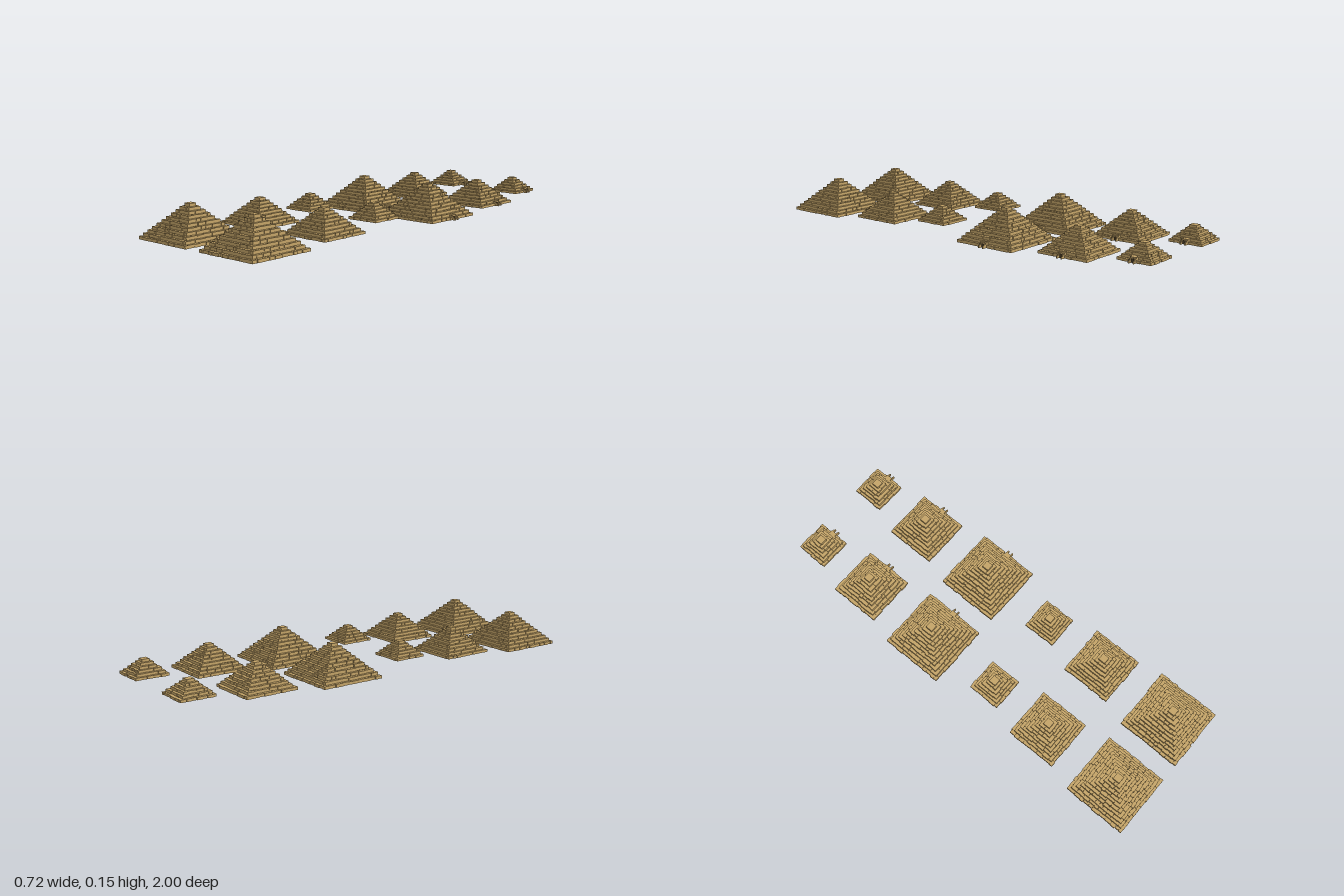
import * as THREE from 'three';
import { mergeGeometries } from 'three/addons/utils/BufferGeometryUtils.js';

const stone = new THREE.MeshStandardMaterial({ color: 0xc4a468 });
const coreStone = new THREE.MeshStandardMaterial({ color: 0xc4a468, flatShading: true, side: THREE.DoubleSide });
const shadow = new THREE.MeshStandardMaterial({ color: 0x4a3c26 });

// Small seeded generator for block sizes
function seeded(seed) {
  let s = seed;
  return () => (s = (s * 16807) % 2147483647) / 2147483647;
}

function box(x0, x1, y0, y1, z0, z1) {
  return new THREE.BoxGeometry(x1 - x0, y1 - y0, z1 - z0)
    .translate((x0 + x1) / 2, (y0 + y1) / 2, (z0 + z1) / 2);
}

const CAP = 0.017; // half width of the top block

// One course: four runs of uneven blocks laid pinwheel fashion
function course(w, y, h, depth, rand) {
  const blocks = [];
  for (let side = 0; side < 4; side++) {
    const end = w - depth;
    let x = -w;
    while (x < end - 1e-6) {
      let len = 0.016 + rand() * 0.026;
      if (end - x - len < 0.014) len = end - x;
      const out = (rand() - 0.5) * 0.005;
      const top = y + h + (rand() - 0.7) * 0.0016;
      const block = new THREE.BoxGeometry(len - 0.0008, top - y, depth + out)
        .rotateY((rand() - 0.5) * 0.05)
        .translate(x + len / 2, (y + top) / 2, w - (depth - out) / 2)
        .rotateY(side * Math.PI / 2);
      blocks.push(block);
      x += len;
    }
  }
  return blocks;
}

function makePyramid({ w, height, layers }, seed) {
  const group = new THREE.Group();
  const rand = seeded(seed);
  const h = height / layers;
  const step = (w - CAP) / (layers - 1);

  // Stepped block courses and the cap
  const blocks = [];
  for (let i = 0; i < layers - 1; i++) {
    blocks.push(...course(w - i * step, i * h, h, step + 0.003, rand));
  }
  blocks.push(box(-CAP, CAP, height - h, height, -CAP, CAP));
  const courses = new THREE.Mesh(mergeGeometries(blocks), stone);
  courses.name = 'blockCourses';
  group.add(courses);

  // Hollow smooth core, open underneath
  const coreW = w - step - 0.001;
  const coreH = coreW * h / step;
  const cone = new THREE.ConeGeometry(coreW * Math.SQRT2, coreH, 4, 1, true)
    .rotateY(Math.PI / 4).translate(0, coreH / 2, 0);
  const core = new THREE.Mesh(cone, coreStone);
  core.name = 'hollowCore';
  group.add(core);
  return group;
}

// Doorway on the +x side: stepped side walls, lintel and dark opening
function makeEntrance(w) {
  const group = new THREE.Group();
  group.name = 'entrance';
  const parts = [];
  for (const s of [-1, 1]) {
    const z0 = s * 0.011 - 0.003, z1 = s * 0.011 + 0.003;
    parts.push(box(w - 0.02, w + 0.019, 0, 0.011, z0, z1));
    parts.push(box(w - 0.025, w + 0.011, 0.011, 0.017, z0, z1));
  }
  parts.push(box(w - 0.03, w + 0.002, 0.017, 0.023, -0.015, 0.015));
  const frame = new THREE.Mesh(mergeGeometries(parts), stone);
  frame.name = 'doorFrame';
  const opening = new THREE.Mesh(box(w - 0.012, w + 0.0035, 0, 0.017, -0.008, 0.008), shadow);
  opening.name = 'doorOpening';
  group.add(frame, opening);
  return group;
}

export function createModel() {
  const model = new THREE.Group();
  model.name = 'pyramidField';
  const sizes = [
    { name: 'largePyramid', w: 0.152, height: 0.151, layers: 11, y: 0, z: [0.847, -0.225] },
    { name: 'mediumPyramid', w: 0.121, height: 0.115, layers: 9, y: 0.013, z: [0.462, -0.611] },
    { name: 'smallPyramid', w: 0.078, height: 0.071, layers: 6, y: 0.037, z: [0.15, -0.921] },
  ];
  let seed = 11;
  for (const size of sizes) {
    size.z.forEach((z, row) => {
      for (const x of [-0.206, 0.185]) {
        const pyramid = makePyramid(size, seed += 7919);
        pyramid.name = size.name;
        if (row === 1) pyramid.add(makeEntrance(size.w)); // rear set has doorways
        pyramid.position.set(x, size.y, z);
        model.add(pyramid);
      }
    });
  }
  return model;
}
